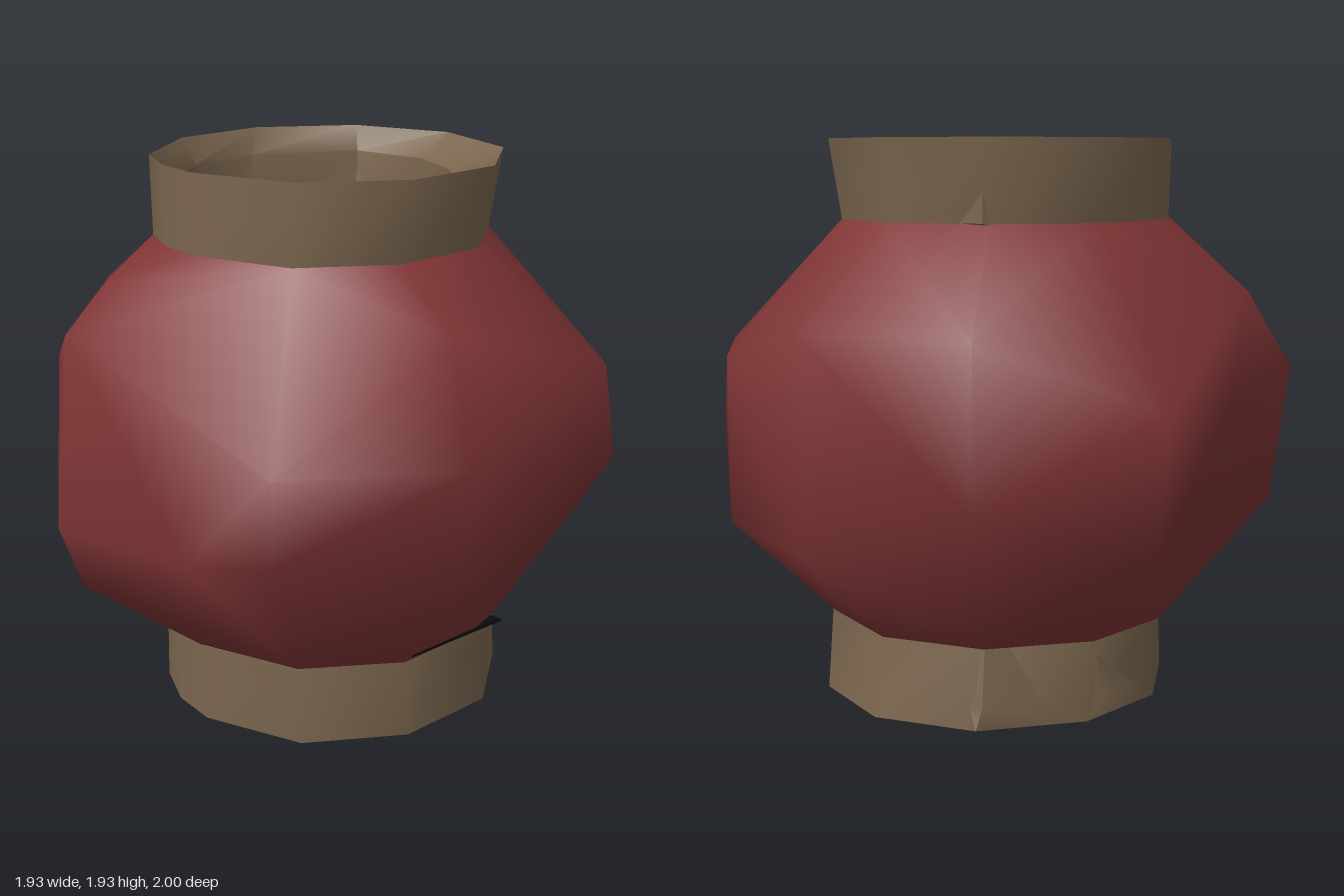
import * as THREE from 'three';
import { mergeVertices, toCreasedNormals } from 'three/addons/utils/BufferGeometryUtils.js';
import { ConvexGeometry } from 'three/addons/geometries/ConvexGeometry.js';

function material(name, color) {
  const m = new THREE.MeshStandardMaterial({ color, side: THREE.DoubleSide });
  m.name = name;
  return m;
}
const red = material('redPaper', 0x813536);
const brown = material('brownWood', 0x7c674f);
const black = material('blackTrim', 0x0a0a0a);

function part(name, geo, mat) {
  const mesh = new THREE.Mesh(geo, mat);
  mesh.name = name;
  return mesh;
}

// Uneven outlines of the collars, x and z, running from back to right to front to left
const outer = [
  [0.04, -0.6], [0.4, -0.49], [0.62, -0.19], [0.62, 0.19], [0.4, 0.49], [0.04, 0.6],
  [-0.31, 0.49], [-0.53, 0.18], [-0.56, 0], [-0.53, -0.2], [-0.3, -0.49],
];
const inner = [
  [-0.01, -0.53], [0.39, -0.46], [0.52, -0.2], [0.49, 0.05], [0.33, 0.41], [0.04, 0.53],
  [-0.2, 0.33], [-0.38, 0.13], [-0.49, 0], [-0.47, -0.18], [-0.27, -0.43],
];
const ring = (outline, y, sx = 1, sz = 1, dx = 0, dz = 0) =>
  outline.map(([x, z]) => [0.03 + (x - 0.03) * sx + dx, y, z * sz + dz]);

// Joins a closed chain of rings into a hollow collar
function collar(name, rings) {
  const n = outer.length;
  const index = [];
  rings.forEach((_, r) => {
    const next = (r + 1) % rings.length;
    for (let i = 0; i < n; i++) {
      const j = (i + 1) % n;
      const a = r * n + i, b = r * n + j, c = next * n + j, d = next * n + i;
      index.push(a, d, b, b, d, c);
    }
  });
  const geo = new THREE.BufferGeometry();
  geo.setAttribute('position', new THREE.Float32BufferAttribute(rings.flat(2), 3));
  geo.setIndex(index);
  return part(name, toCreasedNormals(geo, 0.75), brown);
}

// Flat level plate from an x, z outline, with an optional hole
function plate(name, outline, hole, y, depth, mat) {
  const flat = pts => pts.map(([x, z]) => new THREE.Vector2(x, -z));
  const shape = new THREE.Shape(flat(outline));
  if (hole) shape.holes.push(new THREE.Path(flat(hole)));
  const geo = new THREE.ExtrudeGeometry(shape, { depth, bevelEnabled: false });
  geo.rotateX(-Math.PI / 2);
  const mesh = part(name, geo, mat);
  mesh.position.y = y;
  return mesh;
}

// Rounded, irregular shell, open at the top and bottom
function lanternBody() {
  const topRim = ring(outer, 1.66, 0.96, 0.95, -0.02);
  const bottomRim = ring(outer, 0.28, 1, 0.99, 0, 0.01);
  const belly = [
    // front and back
    [0.04, 1.1, 1], [0.04, 0.62, 0.96], [0.04, 1.49, 0.86],
    [0.04, 1.1, -1], [0.04, 0.62, -0.92],
    // left and right sides
    [-0.97, 0.73, 0], [-0.91, 1.4, 0], [-0.89, 0.5, 0], [-0.76, 1.56, 0],
    [0.96, 1.33, -0.3], [0.96, 0.62, -0.3], [0.96, 1.2, 0.3], [0.96, 0.62, 0.3],
    // diagonals
    [0.61, 1.33, -0.78], [0.61, 0.8, -0.78], [0.86, 0.9, 0.6], [0.82, 1.23, 0.58],
    [-0.76, 1.15, -0.6], [-0.73, 0.68, -0.54], [-0.25, 1.1, -0.92], [-0.55, 1.42, -0.62],
    [-0.73, 0.76, 0.57], [-0.54, 1.1, 0.8], [-0.54, 0.8, 0.78],
  ];
  const points = [...topRim, ...bottomRim, ...belly].map(p => new THREE.Vector3(...p));
  let geo = new ConvexGeometry(points);
  geo.deleteAttribute('normal');
  geo = mergeVertices(geo, 1e-4);

  // Leave out the flat caps so the shell is hollow
  const pos = geo.attributes.position, idx = geo.index.array, kept = [];
  for (let i = 0; i < idx.length; i += 3) {
    const tri = [idx[i], idx[i + 1], idx[i + 2]];
    const ys = tri.map(v => pos.getY(v));
    if (Math.min(...ys) < 1.62 && Math.max(...ys) > 0.3) kept.push(...tri);
  }
  geo.setIndex(kept);
  geo.computeVertexNormals();
  return part('lanternBody', geo, red);
}

// Black streaks across the floor
const streaks = [
  [[-0.05, -0.46], [0.48, -0.16], [0.48, -0.08], [-0.03, -0.4]],
  [[-0.25, 0.22], [-0.1, 0.23], [0.28, 0.3], [0.27, 0.38], [-0.23, 0.31]],
  [[-0.15, -0.36], [-0.07, -0.37], [-0.08, -0.24], [-0.3, -0.05], [-0.37, -0.02], [-0.3, -0.13], [-0.15, -0.22]],
  [[0.32, -0.1], [0.44, -0.04], [0.43, -0.01], [0.36, -0.05]],
  [[-0.02, 0.4], [0.14, 0.42], [0.25, 0.45], [0, 0.43]],
];

// Black strip running up the inside of the bottom collar
function wallStrip() {
  const geo = new THREE.BufferGeometry();
  geo.setAttribute('position', new THREE.Float32BufferAttribute([
    -0.52, 0.02, 0.06, -0.515, 0.02, -0.06, -0.465, 0.27, -0.12, -0.475, 0.27, -0.02,
  ], 3));
  geo.setIndex([0, 1, 2, 0, 2, 3]);
  geo.computeVertexNormals();
  return part('wallStrip', geo, black);
}

export function createModel() {
  const group = new THREE.Group();
  group.name = 'lantern';
  const lipHole = [[-0.46, 0.02], [-0.08, -0.46], [0.49, -0.15], [0.38, 0.4], [0.03, 0.52]];
  const rim = ring(outer, 0, 0.95, 0.94, -0.02).map(([x, , z]) => [x, z]);
  group.add(
    lanternBody(),
    plate('topLip', rim, lipHole, 1.645, 0.008, red),
    collar('topCollar', [
      ring(outer, 1.65, 0.96, 0.95, -0.02),
      ring(outer, 1.93),
      ring(inner, 1.84),
      ring(inner, 1.66),
    ]),
    collar('bottomCollar', [
      ring(outer, 0, 1.02, 0.98, 0.015, 0.02),
      ring(outer, 0.285, 1, 0.95, 0, 0.035),
      ring(inner, 0.28, 0.97, 0.97),
      ring(inner, 0.08, 1.05, 1.04),
    ]),
    plate('floorPlate', rim, null, 0.3, 0.02, brown),
    // Sliver of trim showing at the front seam
    plate('seamTrim', [[0.04, 0.655], [0.46, 0.545], [0.4, 0.42], [0.04, 0.47]], null, 0.322, 0.008, black),
    wallStrip(),
  );
  for (const outline of streaks) {
    group.add(plate('floorStreakTop', outline, null, 0.318, 0.007, black));
    group.add(plate('floorStreakUnder', outline, null, 0.295, 0.007, black));
  }
  return group;
}
